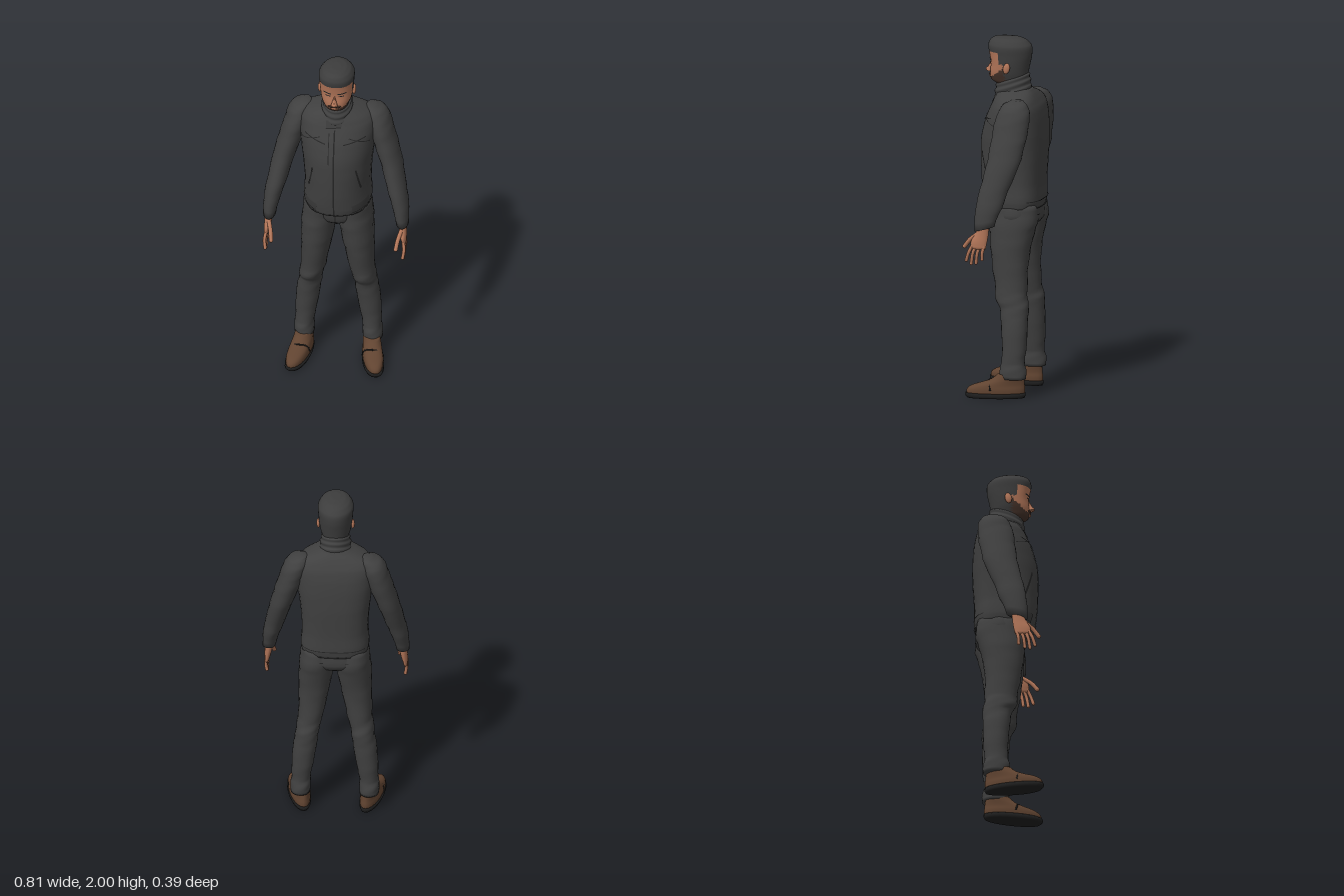
import * as THREE from 'three';

const mat = (name, color, side = THREE.FrontSide) => {
  const m = new THREE.MeshStandardMaterial({ color, side });
  m.name = name;
  return m;
};

// Smooth sample of rings [y, cx, cz, rx, zFront, zBack] at position k (fractional index)
function sample(rings, k) {
  const last = rings.length - 1, i = Math.min(Math.floor(k), last - 1), t = k - i;
  const p = rings[Math.max(i - 1, 0)], a = rings[i], b = rings[i + 1], q = rings[Math.min(i + 2, last)];
  return a.map((v, n) => {
    if (n === 0) return v + (b[0] - v) * t;
    const m0 = (b[n] - p[n]) / 2, m1 = (q[n] - v) / 2, d = b[n] - v;
    return v + m0 * t + (3 * d - 2 * m0 - m1) * t * t + (m0 + m1 - 2 * d) * t * t * t;
  });
}

// Closed skin through horizontal rings, listed from bottom to top
function loft(rings, { side = 1, seg = 24, sub = 3, pf = 2, pb = 2, fold = 0, pick = null, warp = null } = {}) {
  const pos = [], tris = [], rows = (rings.length - 1) * sub;
  const pow = (v, p) => Math.sign(v) * Math.pow(Math.abs(v), 2 / p);
  const add = (x, y, z) => {
    const v = new THREE.Vector3(x, y, z);
    if (warp) warp(v, side);
    pos.push(v.x, v.y, v.z);
  };
  for (let r = 0; r <= rows; r++) {
    const [y, cx, cz, rx, zf, zb] = sample(rings, r / sub);
    for (let s = 0; s < seg; s++) {
      const a = s / seg * Math.PI * 2, c = Math.cos(a), n = Math.sin(a), p = n > 0 ? pf : pb;
      const f = 1 + fold * Math.sin(y * 75 + 2 * a) * Math.sin(y * 23 + a);
      add(side * cx + rx * f * pow(c, p), y, cz + (n > 0 ? zf - cz : cz - zb) * f * pow(n, p));
    }
  }
  const lo = rings[0], hi = rings[rings.length - 1], base = (rows + 1) * seg;
  add(side * lo[1], lo[0], lo[2]);
  add(side * hi[1], hi[0], hi[2]);
  for (let s = 0; s < seg; s++) {
    const n = (s + 1) % seg, top = rows * seg;
    for (let r = 0; r < rows; r++) {
      const a = r * seg + s, b = r * seg + n;
      tris.push([a, a + seg, b], [b, a + seg, b + seg]);
    }
    tris.push([base, s, n], [base + 1, top + n, top + s]);
  }
  const geo = new THREE.BufferGeometry();
  geo.setAttribute('position', new THREE.Float32BufferAttribute(pos, 3));
  if (pick) { // sort faces into material groups by position
    const sets = [[], [], []];
    tris.forEach(t => {
      const c = [0, 1, 2].map(k => t.reduce((sum, i) => sum + pos[i * 3 + k], 0) / 3);
      sets[pick(...c)].push(...t);
    });
    geo.setIndex(sets.flat());
    let start = 0;
    sets.forEach((set, i) => { geo.addGroup(start, set.length, i); start += set.length; });
  } else geo.setIndex(tris.flat());
  geo.computeVertexNormals();
  return geo;
}

// Point on the front (dir 1) or back (dir -1) of a lofted body
function surfaceZ(rings, x, y, dir, p) {
  let i = 0;
  while (i < rings.length - 2 && y > rings[i + 1][0]) i++;
  const t = THREE.MathUtils.clamp((y - rings[i][0]) / (rings[i + 1][0] - rings[i][0]), 0, 1);
  const [, , cz, rx, zf, zb] = sample(rings, i + t);
  const k = Math.pow(Math.max(0, 1 - Math.pow(Math.min(1, Math.abs(x / rx)), p)), 1 / p);
  return cz + (dir > 0 ? zf - cz : zb - cz) * k + dir * 0.004;
}

// Thin ribbon laid on a body between two (x, y) points
function ribbon(rings, [x0, y0], [x1, y1], width, dir, p) {
  const geo = new THREE.PlaneGeometry(1, 1, 10, 2), v = geo.attributes.position;
  const len = Math.hypot(x1 - x0, y1 - y0), nx = -(y1 - y0) / len, ny = (x1 - x0) / len;
  for (let i = 0; i < v.count; i++) {
    const t = v.getX(i) + 0.5, w = v.getY(i) * width;
    const x = x0 + (x1 - x0) * t + nx * w, y = y0 + (y1 - y0) * t + ny * w;
    v.setXYZ(i, x, y, surfaceZ(rings, x, y, dir, p));
  }
  geo.computeVertexNormals();
  return geo;
}

const TORSO = [
  [1.055, 0, -0.05, 0.183, 0.145, -0.18], [1.1, 0, -0.05, 0.19, 0.155, -0.186], [1.2, 0, -0.05, 0.183, 0.165, -0.186],
  [1.35, 0, -0.05, 0.193, 0.17, -0.195], [1.45, 0, -0.055, 0.205, 0.163, -0.196], [1.55, 0, -0.06, 0.215, 0.137, -0.19],
  [1.62, 0, -0.07, 0.215, 0.108, -0.175], [1.66, 0, -0.07, 0.19, 0.088, -0.155], [1.69, 0, -0.06, 0.13, 0.075, -0.135],
  [1.715, 0, -0.03, 0.07, 0.06, -0.115]];
const PELVIS = [
  [0.92, 0, -0.04, 0.04, 0.03, -0.1], [0.96, 0, -0.045, 0.13, 0.078, -0.155], [1.0, 0, -0.05, 0.192, 0.093, -0.178],
  [1.08, 0, -0.05, 0.183, 0.11, -0.174]];
const ARM = [
  [0.985, 0.37, 0.045, 0.036, 0.105, -0.01], [1.1, 0.354, 0.025, 0.048, 0.1, -0.05], [1.2, 0.33, 0, 0.055, 0.083, -0.08],
  [1.33, 0.3, -0.04, 0.061, 0.055, -0.13], [1.45, 0.265, -0.06, 0.067, 0.04, -0.155], [1.55, 0.235, -0.075, 0.069, 0.03, -0.168],
  [1.62, 0.215, -0.085, 0.068, 0.012, -0.165], [1.66, 0.2, -0.085, 0.055, -0.015, -0.148], [1.68, 0.18, -0.085, 0.025, -0.05, -0.12]];
const LEG = [
  [0.11, 0.19, -0.065, 0.055, 0.012, -0.14], [0.16, 0.19, -0.065, 0.056, 0.012, -0.138], [0.2, 0.187, -0.065, 0.053, 0, -0.13],
  [0.3, 0.178, -0.065, 0.061, 0, -0.138], [0.42, 0.165, -0.06, 0.066, 0.01, -0.14], [0.5, 0.153, -0.055, 0.064, 0.02, -0.142],
  [0.54, 0.148, -0.045, 0.067, 0.047, -0.135], [0.6, 0.135, -0.04, 0.07, 0.052, -0.128], [0.75, 0.12, -0.03, 0.083, 0.075, -0.13],
  [0.88, 0.108, -0.035, 0.095, 0.09, -0.15], [0.98, 0.1, -0.045, 0.096, 0.095, -0.178], [1.08, 0.095, -0.05, 0.088, 0.1, -0.172]];
const HEAD = [
  [1.68, 0, -0.01, 0.06, 0.05, -0.075], [1.735, 0, 0, 0.062, 0.08, -0.085], [1.757, 0, 0.005, 0.07, 0.115, -0.09],
  [1.8, 0, 0.01, 0.084, 0.12, -0.095], [1.85, 0, 0.01, 0.092, 0.115, -0.105], [1.9, 0, 0.01, 0.096, 0.122, -0.115],
  [1.95, 0, 0.01, 0.098, 0.131, -0.114], [1.98, 0, 0.015, 0.08, 0.12, -0.088], [1.994, 0, 0.02, 0.055, 0.1, -0.055],
  [2.0, 0, 0.03, 0.025, 0.065, -0.01]];

export function createModel() {
  const model = new THREE.Group();
  model.name = 'standingMan';
  const jacket = mat('jacketCharcoal', 0x404040), trousers = mat('trouserGrey', 0x404040);
  const hair = mat('hairDark', 0x3d3d3d), skin = mat('skin', 0xb37659), beard = mat('beardBrown', 0x46332a);
  const leather = mat('shoeBrown', 0x614431), sole = mat('soleBlack', 0x1e1e1e);
  const seam = mat('seamBlack', 0x242424, THREE.DoubleSide), patch = mat('jacketTrim', 0x3a3a3a, THREE.DoubleSide);
  const add = (name, geo, m) => {
    const mesh = new THREE.Mesh(geo, m);
    mesh.name = name;
    model.add(mesh);
    return mesh;
  };
  const ball = (name, m, p, s) => {
    const b = add(name, new THREE.SphereGeometry(1, 14, 10), m);
    b.position.set(...p);
    b.scale.set(...s);
    return b;
  };
  const limb = (name, pts, r, m) => {
    const v = pts.map(p => new THREE.Vector3(...p));
    add(name, new THREE.TubeGeometry(new THREE.CatmullRomCurve3(v), 8, r, 8), m);
    ball(name + 'Tip', m, pts[pts.length - 1], [r, r, r]);
  };

  // Jacket body, trouser seat and folded collar sloping down to the front
  add('jacketBody', loft(TORSO, { seg: 32, pf: 2.15, pb: 2.7, fold: 0.006 }), jacket);
  add('trouserSeat', loft(PELVIS, { seg: 28, pb: 2.3 }), trousers);
  const collar = [[1.665, 0.088], [1.69, 0.092], [1.705, 0.083], [1.725, 0.088], [1.74, 0.079], [1.757, 0.082], [1.768, 0.072]]
    .map(([y, r]) => [y, 0, -0.005, r, r + 0.008, -r - 0.022]);
  add('collar', loft(collar, { warp: v => { v.y -= v.z * 0.35; } }), jacket);

  // Jacket front: zip, placket, neck strap, pocket lines, waist tabs
  const front = (name, a, b, w, m = seam) => add(name, ribbon(TORSO, a, b, w, 1, 2.15), m);
  front('zip', [0, 1.06], [0, 1.62], 0.008);
  front('placketSeam', [-0.03, 1.42], [-0.03, 1.6], 0.004);
  front('neckStrap', [-0.05, 1.645], [0.035, 1.655], 0.036, patch);
  front('neckStrapSeam', [-0.05, 1.624], [0.035, 1.634], 0.005);
  for (const s of [-1, 1]) {
    front('chestPocketSeam', [s * 0.05, 1.54], [s * 0.17, 1.565], 0.006);
    front('chestPanelSeam', [s * 0.08, 1.575], [s * 0.19, 1.525], 0.004);
    front('sidePocketSeam', [s * 0.12, 1.37], [s * 0.145, 1.23], 0.008);
    front('waistTab', [s * 0.1, 1.1], [s * 0.182, 1.11], 0.05, patch);
    front('waistTabSeam', [s * 0.1, 1.074], [s * 0.18, 1.084], 0.005);
    add('trouserPocketSeam', ribbon(PELVIS, [s * 0.09, 1.045], [s * 0.165, 1.02], 0.005, 1, 2), seam);
    add('backPocketSeam', ribbon(PELVIS, [s * 0.06, 1.02], [s * 0.14, 1.015], 0.005, -1, 2.3), seam);
  }
  add('fly', ribbon(PELVIS, [0, 0.97], [0, 1.055], 0.005, 1, 2), seam);
  add('backHemSeam', ribbon(TORSO, [-0.17, 1.1], [0.17, 1.1], 0.005, -1, 2.7), seam);

  // Head: skin, hair and beard divided by rule
  const part = (x, y, z) => {
    if (y > 1.918 || z < 0.018 || (z < 0.05 && y > 1.855)) return 1;
    if (y > 1.72 && y < 1.778 + Math.max(0, 0.095 - z) * 0.8) return 2;
    return 0;
  };
  add('head', loft(HEAD, { seg: 36, sub: 5, pf: 2.2, pick: part }), [skin, hair, beard]);
  const nose = add('nose', new THREE.ConeGeometry(0.02, 0.062, 8), skin);
  nose.position.set(0, 1.83, 0.122);
  nose.rotation.x = -0.22;
  ball('noseTip', skin, [0, 1.809, 0.131], [0.015, 0.012, 0.018]);
  ball('moustache', beard, [0, 1.787, 0.116], [0.036, 0.008, 0.012]);
  ball('lips', skin, [0, 1.772, 0.118], [0.02, 0.006, 0.01]);

  for (const s of [-1, 1]) {
    ball('ear', skin, [s * 0.095, 1.835, 0.002], [0.011, 0.031, 0.019]).rotation.x = -0.2;
    add('eyebrow', ribbon(HEAD, [s * 0.018, 1.872], [s * 0.064, 1.876], 0.008, 1, 2.2), beard).material = seam;
    add('eye', ribbon(HEAD, [s * 0.023, 1.856], [s * 0.052, 1.856], 0.006, 1, 2.2), seam);

    // Sleeve, with the cuff sloping down to the front
    const cuff = v => { v.y -= Math.max(0, 1.12 - v.y) * (v.z - 0.045) * 2; };
    add('sleeve', loft(ARM, { side: s, fold: 0.03, warp: cuff }), jacket);

    // Hand: palm, four fingers and thumb
    const palm = [[0.872, 0.383, 0.08, 0.012, 0.118, 0.035], [0.91, 0.379, 0.075, 0.018, 0.122, 0.028],
      [0.95, 0.374, 0.062, 0.021, 0.1, 0.022], [1.01, 0.37, 0.05, 0.024, 0.078, 0.018]];
    add('palm', loft(palm, { side: s, seg: 16 }), skin);
    [[0.109, 0.146, 0.805], [0.088, 0.118, 0.788], [0.066, 0.09, 0.793], [0.044, 0.056, 0.815]].forEach(([z0, z1, y]) =>
      limb('finger', [[s * 0.381, 0.895, z0], [s * 0.388, 0.85, (z0 + z1) / 2 + 0.004], [s * 0.383, y, z1]], 0.0095, skin));
    limb('thumb', [[s * 0.37, 0.955, 0.085], [s * 0.354, 0.915, 0.135], [s * 0.347, 0.875, 0.167]], 0.012, skin);

    // Trouser leg
    add('trouserLeg', loft(LEG, { side: s, fold: 0.035, pb: 2.2 }), trousers);

    // Shoe, toes turned slightly out
    const turn = (v, k) => { v.x += k * v.z * 0.2; };
    const foot = (list, opt) => loft(list.map(([y, r, zf, zb]) => [y, 0.196, 0.04, r, zf, zb]), { side: s, pf: 2.3, warp: turn, ...opt });
    add('shoeSole', foot([[0, 0.056, 0.183, -0.125], [0.012, 0.061, 0.196, -0.131], [0.028, 0.06, 0.196, -0.131]], { sub: 1 }), sole);
    const upper = [[0.026, 0.057, 0.191, -0.128], [0.05, 0.058, 0.186, -0.129], [0.07, 0.055, 0.158, -0.127]]
      .map(([y, r, a, b]) => [y, 0.196, 0.03, r, a, b]);
    upper.push([0.088, 0.196, 0, 0.052, 0.1, -0.125], [0.105, 0.196, -0.03, 0.05, 0.055, -0.123], [0.135, 0.196, -0.055, 0.047, 0.02, -0.12]);
    add('shoeUpper', loft(upper, { side: s, pf: 2.2, warp: turn }), leather);
    const strap = [[-0.058, 0.045, 0.045], [-0.045, 0.083, 0.055], [0, 0.1, 0.066], [0.045, 0.083, 0.055], [0.058, 0.045, 0.045]]
      .map(([x, y, z]) => new THREE.Vector3(s * 0.205 + x, y, z));
    add('shoeStrap', new THREE.TubeGeometry(new THREE.CatmullRomCurve3(strap), 16, 0.005, 6), sole);
  }
  return model;
}
